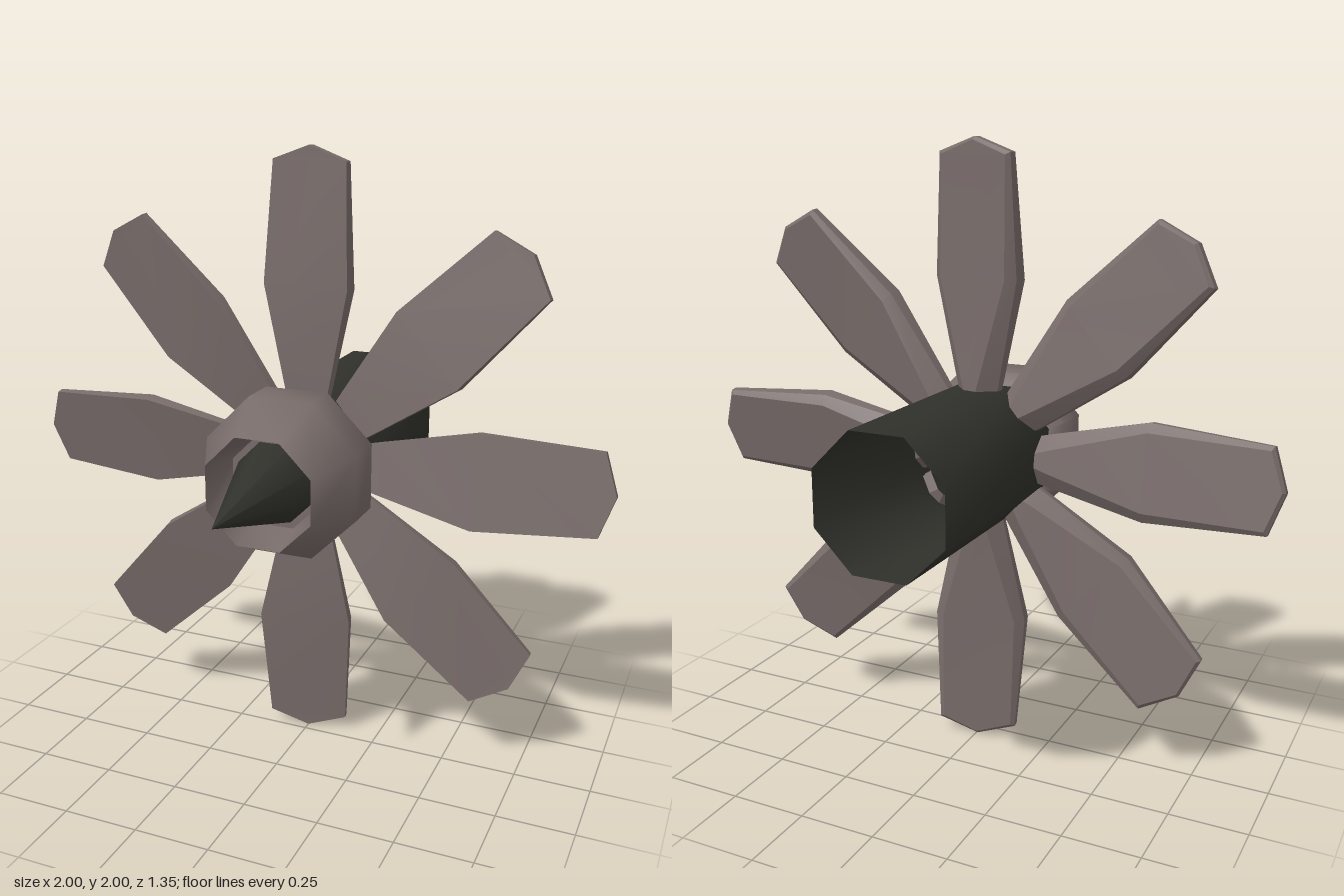
import * as THREE from 'three';
import { toCreasedNormals } from 'three/addons/utils/BufferGeometryUtils.js';

const TO_CORNER = 1 / Math.cos(Math.PI / 8); // flat-to-centre distance -> corner radius

const hullMat = new THREE.MeshStandardMaterial({ color: 0x786c6a });
const darkMat = new THREE.MeshStandardMaterial({ color: 0x30312b });
const tubeMat = new THREE.MeshStandardMaterial({ color: 0x30312b, side: THREE.DoubleSide });

// Eight-sided turned part along z; profile is [flat distance, z] from back to front
function turned(name, profile, material) {
  const points = profile.map(([r, z]) => new THREE.Vector2(r * TO_CORNER, z));
  const geo = new THREE.LatheGeometry(points, 8, Math.PI / 8).rotateX(Math.PI / 2);
  const mesh = new THREE.Mesh(toCreasedNormals(geo, 1), material);
  mesh.name = name;
  return mesh;
}

// Blade stations from root to tip:
// radius, half width, rear half width, front z, edge depth, full depth, rear radius
const stations = [
  [0.18, 0.068, 0.012, -0.008, 0.024, 0.07, 0.18],
  [0.255, 0.085, 0.035, -0.005, 0.028, 0.071, 0.255],
  [0.57, 0.152, 0.122, 0.007, 0.045, 0.068, 0.57],
  [0.955, 0.131, 0.118, -0.028, 0.025, 0.035, 0.947],
  [1, 0, 0, -0.028, 0.025, 0.035, 0.99],
];
const PITCH = 0.17;

// Blade pointing up: pitched front face, thin edge wall, chamfer to a narrower rear face
function bladeGeometry() {
  const positions = [];
  const index = [];
  stations.forEach(([r, w, rearW, z, edge, depth, rearR], j) => {
    const section = [
      [-w, r, 0], [w, r, 0], [w, r, edge],
      [rearW, rearR, depth], [-rearW, rearR, depth], [-w, r, edge],
    ];
    section.forEach(([x, y, d], k) => {
      positions.push(x + PITCH * d, y, z - d + PITCH * x);
      if (j === 0) return;
      const next = (k + 1) % 6;
      const a = (j - 1) * 6 + k, b = (j - 1) * 6 + next, c = j * 6 + next, e = j * 6 + k;
      index.push(a, b, c, a, c, e);
    });
  });
  const geo = new THREE.BufferGeometry();
  geo.setAttribute('position', new THREE.Float32BufferAttribute(positions, 3));
  geo.setIndex(index);
  return toCreasedNormals(geo, 0.45);
}

export function createModel() {
  const model = new THREE.Group();
  model.name = 'propeller';
  model.position.y = 1;

  // Hub with a recessed front, the spike inside it and the open shaft behind
  model.add(
    turned('hub', [[0, 0.04], [0.22, 0.04], [0.255, 0.07], [0.255, 0.2], [0.174, 0.373], [0.145, 0.24], [0, 0.24]], hullMat),
    turned('noseSpike', [[0.128, 0.23], [0, 0.67]], darkMat),
    turned('shaft', [[0.215, -0.675], [0.215, 0.04]], tubeMat),
  );

  // Ring of eight blades
  const blades = new THREE.Group();
  blades.name = 'blades';
  const geo = bladeGeometry();
  for (let i = 0; i < 8; i++) {
    const blade = new THREE.Mesh(geo, hullMat);
    blade.name = `blade${i + 1}`;
    blade.rotation.z = (i * Math.PI) / 4;
    blades.add(blade);
  }
  model.add(blades);

  const root = new THREE.Group();
  root.add(model);
  return root;
}
